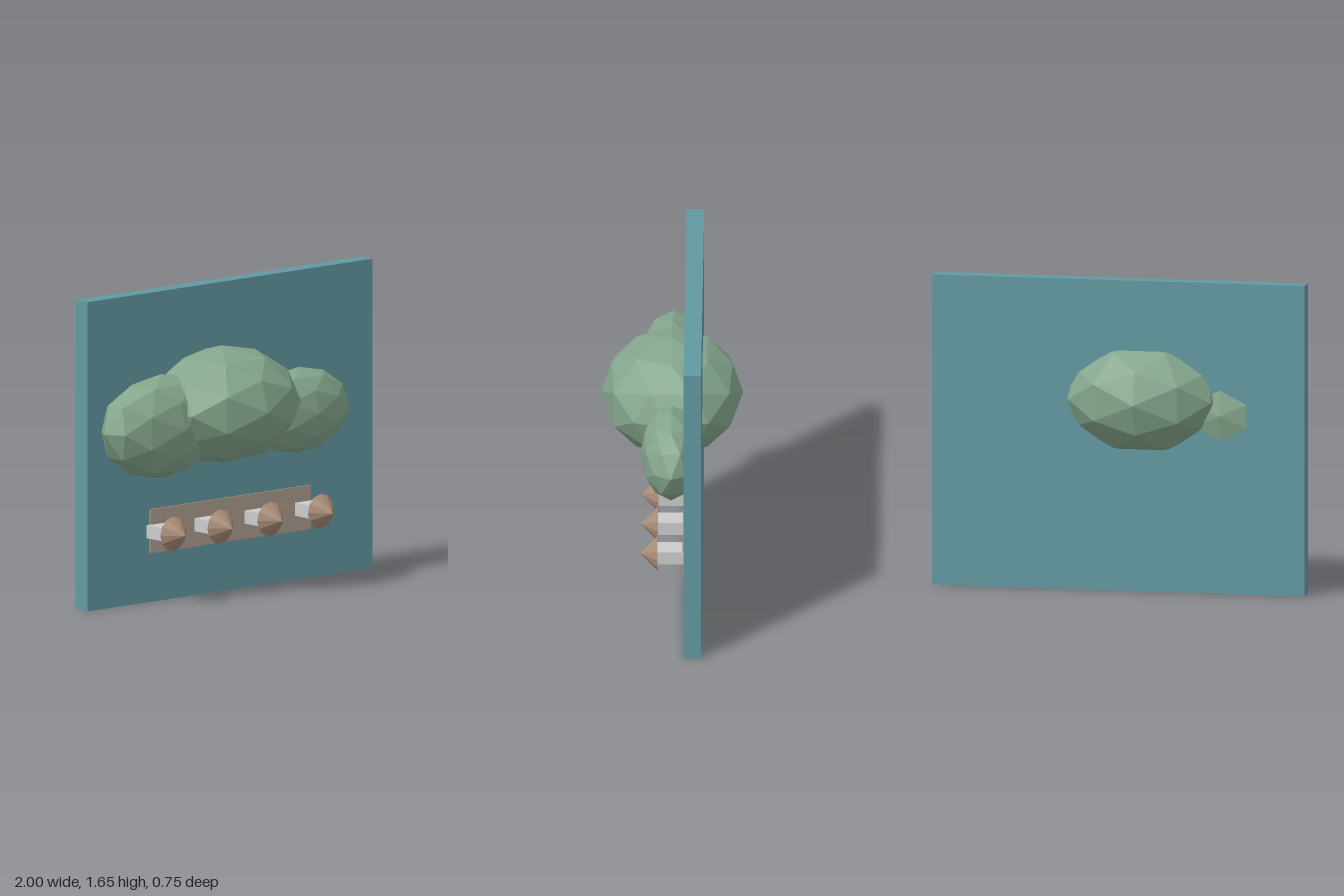
import * as THREE from 'three';

const material = (color) => new THREE.MeshStandardMaterial({ color, flatShading: true });

export function createModel() {
  const model = new THREE.Group();
  model.name = 'wallCoatRack';

  const teal = material(0x6299a2);
  const green = material(0x84a68c);
  const tan = material(0xae9f8e);
  const brown = material(0xa98d78);
  const grey = material(0xcccccc);

  const add = (name, geometry, mat, x, y, z, parent = model) => {
    const mesh = new THREE.Mesh(geometry, mat);
    mesh.name = name;
    mesh.position.set(x, y, z);
    parent.add(mesh);
    return mesh;
  };

  // Back board
  add('backBoard', new THREE.BoxGeometry(2, 1.65, 0.092), teal, 0, 0.825, -0.116);

  // Cloud of three stretched icospheres, poking through the board
  const cloud = new THREE.Group();
  cloud.name = 'cloud';
  model.add(cloud);
  const puff = new THREE.IcosahedronGeometry(1, 1);
  const puffs = [
    ['cloudMiddle', [-0.12, 1.015, 0], [0.45, 0.313, 0.375]],
    ['cloudRight', [-0.543, 0.945, 0], [0.4, 0.278, 0.188]],
    ['cloudLeft', [0.42, 0.92, 0], [0.33, 0.23, 0.162]],
  ];
  for (const [name, position, scale] of puffs) {
    add(name, puff, green, ...position, cloud).scale.set(...scale);
  }

  // Thin mounting strip
  add('mountingStrip', new THREE.BoxGeometry(1.125, 0.235, 0.01), tan, 0, 0.378, -0.067);

  // Pegs: flat stem with a cone tip pointing forward
  const stem = new THREE.BoxGeometry(0.13, 0.07, 0.15);
  const tip = new THREE.ConeGeometry(0.092, 0.093, 12).rotateX(Math.PI / 2);
  [-0.52, -0.19, 0.16, 0.515].forEach((x, i) => {
    const peg = new THREE.Group();
    peg.name = `peg${i + 1}`;
    peg.position.set(x, 0.378, 0);
    model.add(peg);
    add('pegStem', stem, grey, 0, 0, 0, peg);
    add('pegTip', tip, brown, 0, 0, 0.117, peg);
  });

  return model;
}
